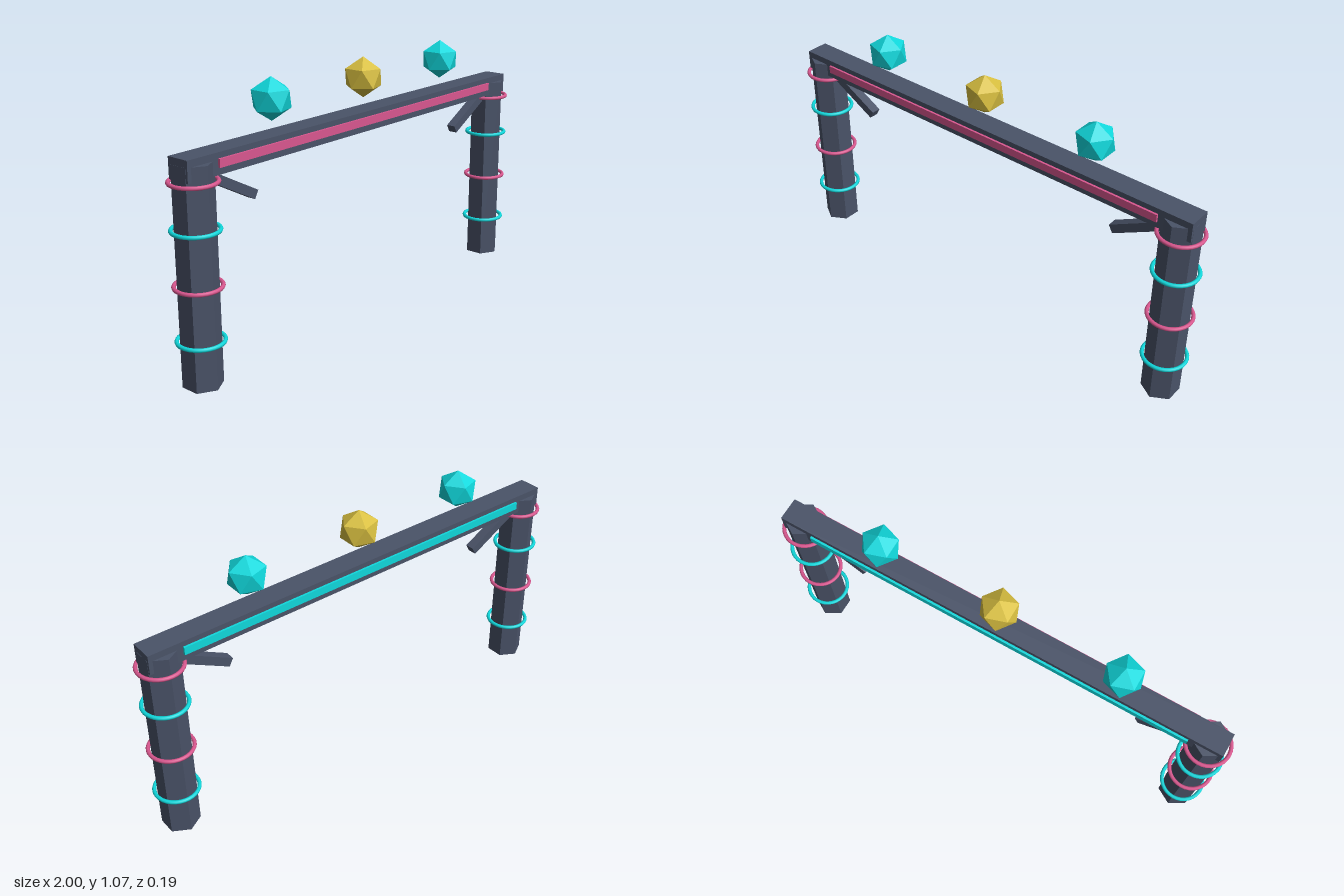
import * as THREE from 'three';

const mat = (name, color, flatShading = false) => {
  const m = new THREE.MeshStandardMaterial({ color, flatShading });
  m.name = name;
  return m;
};

export function createModel() {
  const slate = mat('slate', 0x4a5368, true);
  const cyan = mat('cyan', 0x10d8dc);
  const pink = mat('pink', 0xd9578f);
  const gold = mat('gold', 0xd8bf40);

  const model = new THREE.Group();
  model.name = 'archway';
  const add = (name, geometry, material, x, y, z) => {
    const mesh = new THREE.Mesh(geometry, material);
    mesh.name = name;
    mesh.position.set(x, y, z);
    model.add(mesh);
    return mesh;
  };

  // Crossbeam with a glowing strip on each long side
  add('crossbeam', new THREE.BoxGeometry(1.94, 0.081, 0.096), slate, 0, 0.8215, 0);
  const strip = new THREE.BoxGeometry(1.664, 0.032, 0.009);
  add('frontStrip', strip, pink, 0, 0.824, 0.0525);
  add('backStrip', strip, cyan, 0, 0.824, -0.0525);

  // Hexagonal pillars, their rings and the slanted braces
  const pillar = new THREE.CylinderGeometry(0.076, 0.076, 0.835, 6);
  const ring = new THREE.TorusGeometry(0.087, 0.008, 8, 32).rotateX(Math.PI / 2);
  const brace = new THREE.BoxGeometry(0.26, 0.036, 0.04);
  for (const [side, s] of [['left', 1], ['right', -1]]) {
    add(side + 'Pillar', pillar, slate, s * 0.905, 0.4175, 0);
    [0.175, 0.384, 0.593, 0.767].forEach((y, i) =>
      add(side + 'Ring' + (i + 1), ring, i % 2 ? pink : cyan, s * 0.905, y, 0));
    add(side + 'Brace', brace, slate, s * 0.741, 0.718, 0).rotation.z = s * 0.5;
  }

  // Floating gems, each standing on a vertex
  const gem = new THREE.IcosahedronGeometry(0.0825, 0)
    .rotateZ(-Math.atan(2 / (1 + Math.sqrt(5))));
  add('rightGem', gem, cyan, -0.52, 0.989, 0);
  add('middleGem', gem, gold, 0, 0.989, 0);
  add('leftGem', gem, cyan, 0.52, 0.989, 0);

  return model;
}
